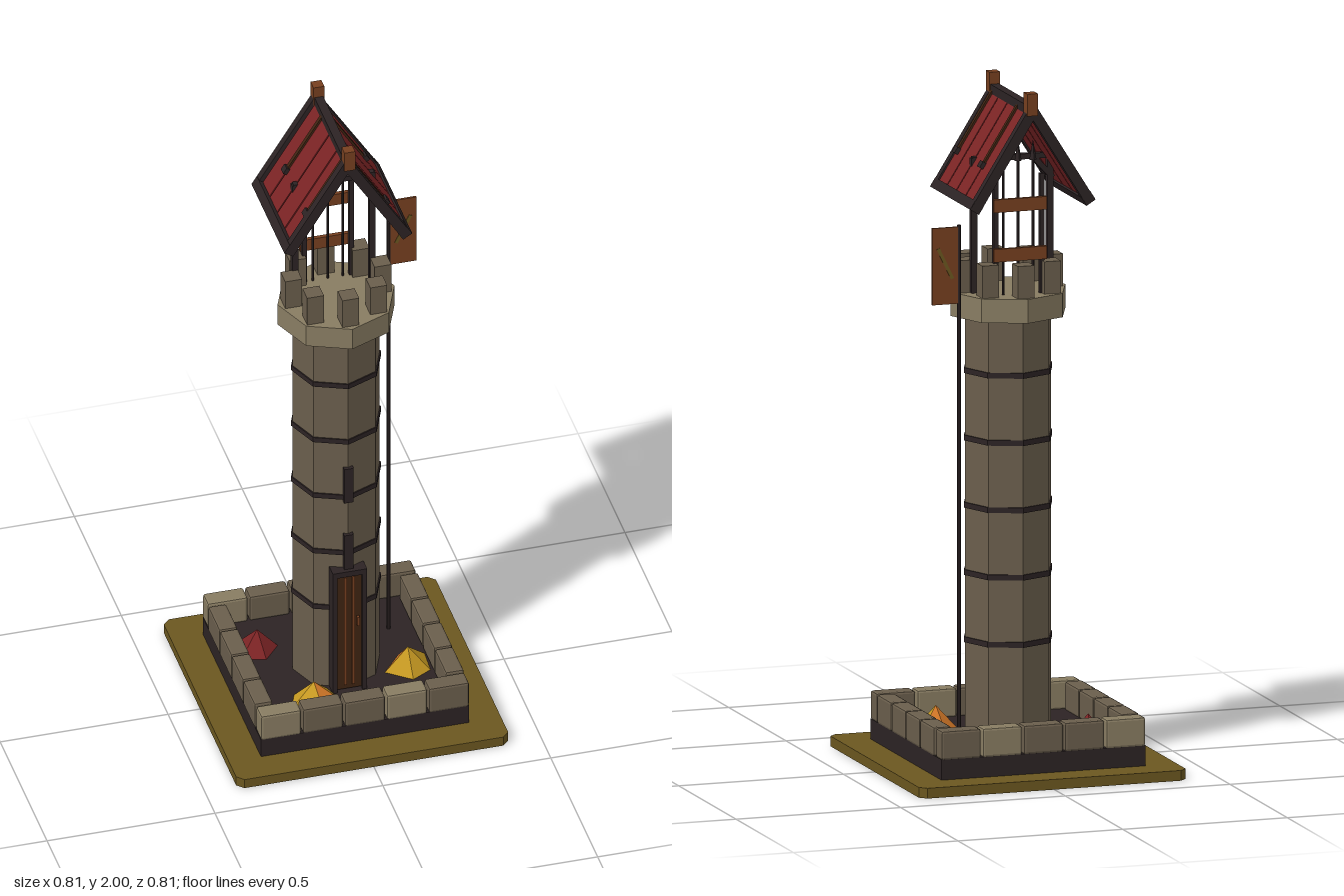
import * as THREE from 'three';
import { RoundedBoxGeometry } from 'three/addons/geometries/RoundedBoxGeometry.js';

const paint = (name, color) => {
  const m = new THREE.MeshStandardMaterial({ color, flatShading: true });
  m.name = name;
  return m;
};

export function createModel() {
  const root = new THREE.Group();
  const ground = paint('ground', 0x6b5720), stone = paint('stone', 0x6a5e4c);
  const paleStone = paint('paleStone', 0x887c62), dark = paint('darkTimber', 0x2c2324);
  const red = paint('redPlank', 0x7c2425), brown = paint('brownWood', 0x774020);
  const doorWood = paint('doorWood', 0x3f2412), gold = paint('gold', 0xc79a22);
  const orange = paint('orange', 0xd67a28);

  const add = (name, geo, mat, x = 0, y = 0, z = 0, parent = root) => {
    const m = new THREE.Mesh(geo, mat);
    m.name = name;
    m.position.set(x, y, z);
    parent.add(m);
    return m;
  };
  const box = (name, w, h, d, mat, x, y, z, parent) =>
    add(name, new THREE.BoxGeometry(w, h, d), mat, x, y, z, parent);
  const group = (name, parent = root) => {
    const g = new THREE.Group();
    g.name = name;
    parent.add(g);
    return g;
  };

  // Ground slab with clipped corners
  const a = 0.405, c = 0.385;
  const outline = new THREE.Shape([[a, -c], [a, c], [c, a], [-c, a], [-a, c], [-a, -c], [-c, -a], [c, -a]]
    .map(([x, y]) => new THREE.Vector2(x, y)));
  const slab = new THREE.ExtrudeGeometry(outline, { depth: 0.03, bevelEnabled: false });
  slab.rotateX(-Math.PI / 2);
  add('groundSlab', slab, ground);
  box('plinth', 0.62, 0.06, 0.62, dark, 0, 0.06, 0);

  // Low wall of separate blocks
  const wall = group('lowWall');
  const block = (w, d, mat, x, z) =>
    add('wallBlock', new RoundedBoxGeometry(w, 0.085, d, 1, 0.007), mat, x, 0.13, z, wall);
  for (const s of [-1, 1]) {
    for (let i = 0; i < 5; i++) block(0.12, 0.055, i % 3 ? stone : paleStone, (i - 2) * 0.125, s * 0.285);
    for (let i = 0; i < 4; i++) block(0.055, 0.12, stone, s * 0.285, (i - 1.5) * 0.125);
  }

  // Eight-sided tower with bands
  const oct = (r, h) => new THREE.CylinderGeometry(r, r, h, 8);
  add('towerShaft', oct(0.13, 1.24), stone, 0, 0.71, 0);
  for (let i = 0; i < 5; i++) add('towerBand', oct(0.134, 0.016), dark, 0, 0.37 + i * 0.197, 0);

  // Parapet and merlons
  add('parapet', oct(0.174, 0.07), paleStone, 0, 1.355, 0);
  for (let i = 0; i < 8; i++) {
    const t = i * Math.PI / 4;
    box('merlon', 0.05, 0.1, 0.05, stone, 0.133 * Math.sin(t), 1.435, 0.133 * Math.cos(t));
  }

  // Door and arrow slits
  const door = group('door');
  box('doorBack', 0.09, 0.41, 0.03, doorWood, 0, 0.3, 0.126, door);
  for (const s of [-1, 1]) {
    box('doorJamb', 0.014, 0.425, 0.04, dark, s * 0.044, 0.3, 0.13, door);
    box('doorPlank', 0.008, 0.38, 0.006, brown, s * 0.012, 0.3, 0.142, door);
  }
  box('doorLintel', 0.102, 0.018, 0.04, dark, 0, 0.505, 0.13, door);
  box('doorHandle', 0.008, 0.03, 0.01, brown, 0.024, 0.335, 0.15, door);
  for (const y of [0.575, 0.81]) box('arrowSlit', 0.028, 0.12, 0.022, dark, 0, y, 0.128);

  // Roof on two posts
  const roof = group('roof');
  for (const s of [-1, 1]) {
    box('roofPost', 0.018, 0.4, 0.018, dark, s * 0.115, 1.585, -0.03, roof);
    const side = group('roofSide', roof);
    const slope = 1.01;
    side.position.set(0, 1.948, 0);
    side.rotation.z = s > 0 ? -slope : Math.PI + slope;
    const edges = [-0.185, -0.11, -0.03, 0.05, 0.122];
    for (let i = 0; i < 4; i++)
      box('roofPlank', 0.31, 0.012, edges[i + 1] - edges[i] - 0.005, red,
        0.162, 0, (edges[i] + edges[i + 1]) / 2, side);
    for (const z of [-0.196, 0.131]) box('gableBeam', 0.33, 0.03, 0.024, dark, 0.163, -0.004, z, side);
    box('eaveBeam', 0.03, 0.032, 0.35, dark, 0.318, -0.004, -0.032, side);
    for (const z of [-0.112, 0.108]) {
      box('roofStrap', 0.2, 0.008, 0.013, doorWood, 0.105, s * 0.008, z, side);
      box('strapEnd', 0.02, 0.02, 0.024, dark, 0.205, s * 0.008, z, side);
    }
    // Short brace from post to rafter
    const brace = box('brace', 0.016, 0.1, 0.016, dark, s * 0.09, 1.75, -0.03, roof);
    brace.rotation.z = s * 0.75;
  }
  box('tieBeam', 0.24, 0.016, 0.018, dark, 0, 1.78, -0.03, roof);
  box('ridgeBeam', 0.026, 0.03, 0.33, dark, 0, 1.95, -0.032, roof);
  for (const z of [-0.198, 0.132]) box('ridgeCap', 0.032, 0.065, 0.032, brown, 0, 1.9675, z, roof);

  // Spear rack
  const rack = group('spearRack');
  for (const s of [-1, 1]) box('rackPost', 0.014, 0.35, 0.014, dark, s * 0.07, 1.565, -0.09, rack);
  for (const y of [1.51, 1.655]) box('rackBoard', 0.16, 0.038, 0.012, brown, 0, y, -0.103, rack);
  for (let i = -1; i <= 1; i++) {
    add('spearShaft', new THREE.CylinderGeometry(0.004, 0.004, 0.4, 6), dark, i * 0.045, 1.59, -0.088, rack);
    add('spearTip', new THREE.ConeGeometry(0.011, 0.06, 4), dark, i * 0.045, 1.81, -0.088, rack);
  }

  // Pole with hanging banner and slash on both faces
  const flag = group('bannerPole');
  add('pole', new THREE.CylinderGeometry(0.006, 0.006, 1.53, 8), dark, 0.189, 0.845, -0.116, flag);
  box('banner', 0.08, 0.225, 0.006, brown, 0.231, 1.493, -0.116, flag);
  const slash = box('bannerSlash', 0.01, 0.1, 0.009, ground, 0.232, 1.5, -0.116, flag);
  slash.rotation.z = -0.45;

  // Low faceted heaps: rim points around an apex, some facets in a second colour
  const heap = (ax, az, h, rim, mats) => {
    const g = new THREE.BufferGeometry(), pos = [];
    rim.forEach(([x, z], i) => {
      const [u, v] = rim[(i + 1) % rim.length];
      pos.push(ax, 0.09 + h, az, x, 0.09, z, u, 0.09, v);
      g.addGroup(i * 3, 3, mats[i]);
    });
    g.setAttribute('position', new THREE.Float32BufferAttribute(pos, 3));
    g.computeVertexNormals();
    add('heap', g, [gold, orange, red]);
  };
  heap(-0.11, 0.157, 0.06, [[-0.185, 0.19], [-0.1, 0.232], [-0.038, 0.18], [-0.06, 0.12], [-0.16, 0.125]], [0, 1, 0, 0, 0]);
  heap(0.19, 0.085, 0.075, [[0.12, 0.09], [0.19, 0.145], [0.25, 0.112], [0.255, 0.03], [0.18, 0.018]], [0, 0, 0, 1, 1]);
  heap(0.055, -0.19, 0.065, [[-0.005, -0.2], [0.04, -0.14], [0.1, -0.21], [0.116, -0.24], [0.015, -0.257]], [1, 1, 0, 0, 0]);
  heap(-0.2, -0.125, 0.065, [[-0.26, -0.08], [-0.19, -0.062], [-0.14, -0.12], [-0.19, -0.185], [-0.245, -0.168]], [2, 2, 2, 2, 2]);

  return root;
}
